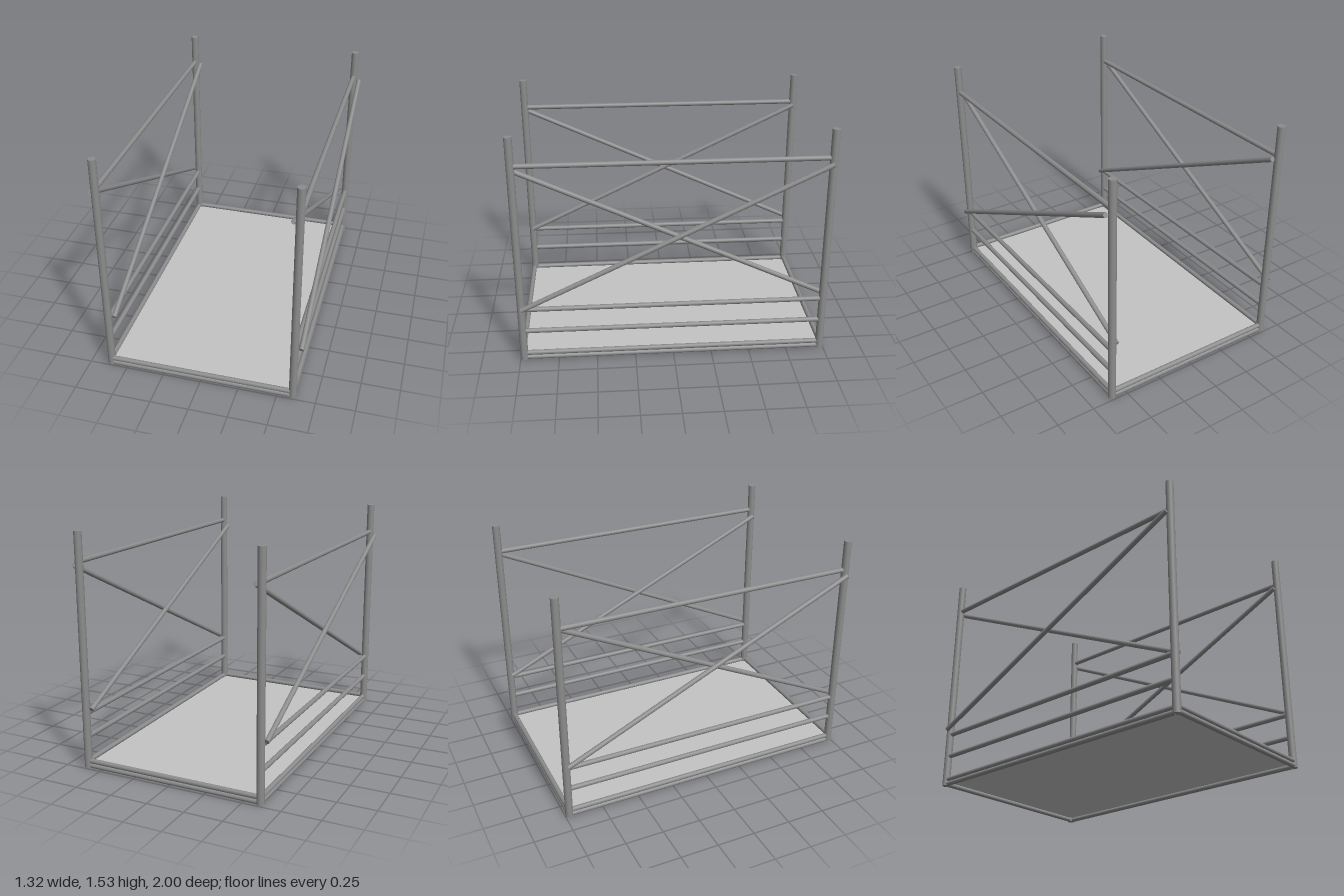
import * as THREE from 'three';

const steel = new THREE.MeshStandardMaterial({ color: 0x8c8c8c });
steel.name = 'steel grey';
const panel = new THREE.MeshStandardMaterial({ color: 0xc4c4c4 });
panel.name = 'light deck grey';

// Capped round tube between two points
function tube(name, a, b, radius) {
  const start = new THREE.Vector3(...a), end = new THREE.Vector3(...b);
  const axis = end.clone().sub(start);
  const mesh = new THREE.Mesh(new THREE.CylinderGeometry(radius, radius, axis.length(), 20), steel);
  mesh.position.copy(start).add(end).multiplyScalar(0.5);
  mesh.quaternion.setFromUnitVectors(new THREE.Vector3(0, 1, 0), axis.normalize());
  mesh.name = name;
  return mesh;
}

export function createModel() {
  const model = new THREE.Group();
  model.name = 'scaffoldBay';
  const R = 0.016;

  // Two side frames: posts, horizontal rails and crossed braces
  const sides = [
    { name: 'rightSide', x: -0.61, top: 1.336, fallingX: -0.645, risingX: -0.569 },
    { name: 'leftSide', x: 0.6, top: 1.349, fallingX: 0.563, risingX: 0.641 },
  ];
  for (const { name, x, top, fallingX, risingX } of sides) {
    const side = new THREE.Group();
    side.name = name;
    for (const z of [0.975, -0.975]) side.add(tube('post', [x, 0.008, z], [x, 1.535, z], 0.025));
    const rails = { lowerDeckBeam: 0.019, upperDeckBeam: 0.05, toeRail: 0.215, midRail: 0.372, topRail: top };
    for (const [rail, y] of Object.entries(rails)) side.add(tube(rail, [x, y, 0.965], [x, y, -0.965], R));
    side.add(tube('brace', [fallingX, 1.305, 0.97], [fallingX, 0.402, -0.97], R));
    side.add(tube('brace', [risingX, 0.39, 0.97], [risingX, 1.32, -0.97], R));
    model.add(side);
  }

  // Paired beams across both ends
  for (const z of [0.981, -0.975]) {
    model.add(tube('lowerEndBeam', [-0.604, 0.021, z], [0.6, 0.021, z], R));
    model.add(tube('upperEndBeam', [-0.604, 0.052, z], [0.6, 0.052, z], R));
  }

  // Thin deck
  const deck = new THREE.Mesh(new THREE.BoxGeometry(1.2, 0.006, 1.95), panel);
  deck.position.set(-0.005, 0.036, 0);
  deck.name = 'deck';
  model.add(deck);

  return model;
}
